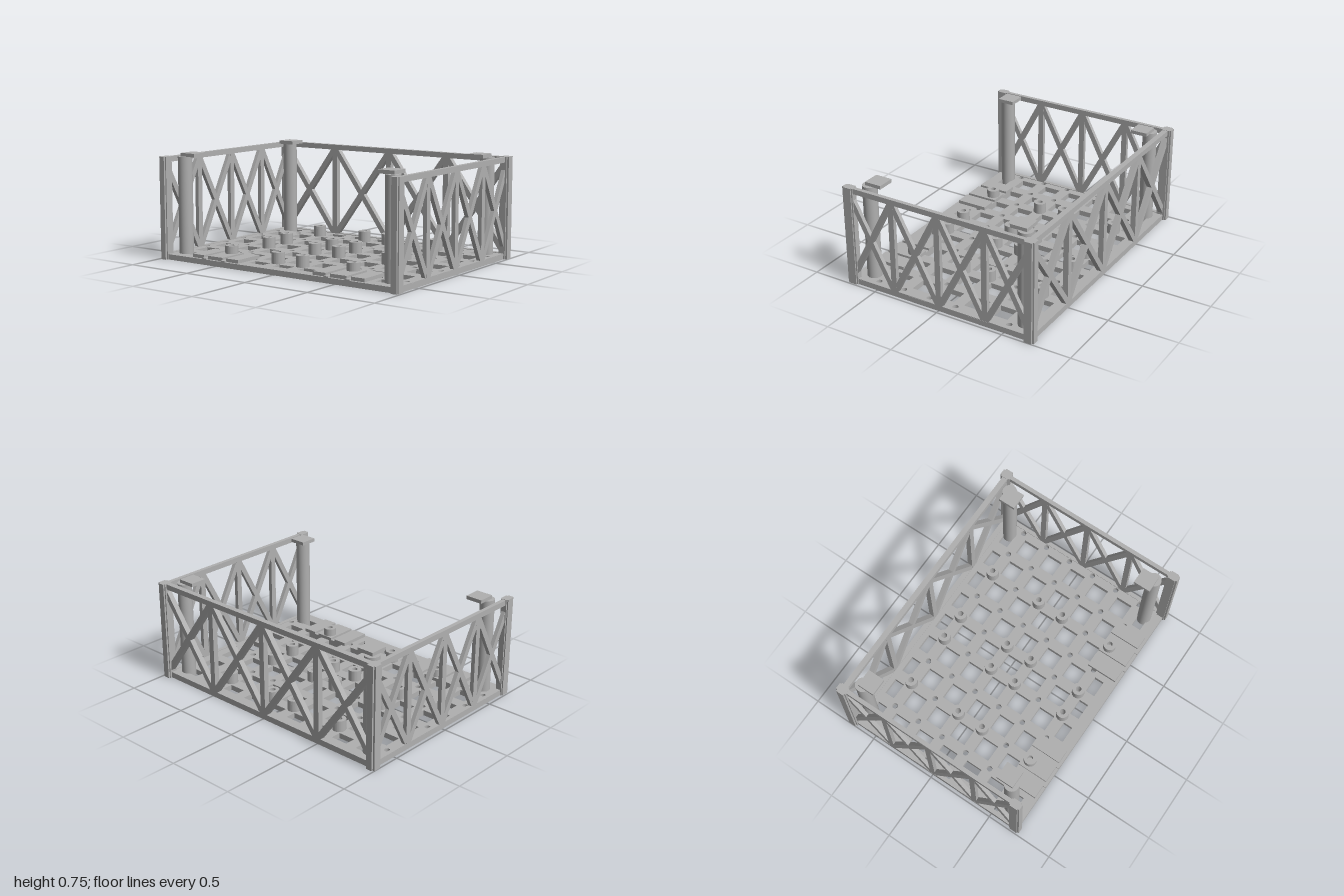
import * as THREE from 'three';

export function createModel() {
  const model = new THREE.Group();
  const grey = new THREE.MeshStandardMaterial({ color: 0xb0b0b0 });
  grey.name = 'plain grey';

  const add = (name, geometry, parent = model) => {
    const mesh = new THREE.Mesh(geometry, grey);
    mesh.name = name;
    parent.add(mesh);
    return mesh;
  };
  // Box given by its limits on each axis
  const block = (name, x0, x1, y0, y1, z0, z1, parent) => {
    const mesh = add(name, new THREE.BoxGeometry(x1 - x0, y1 - y0, z1 - z0), parent);
    mesh.position.set((x0 + x1) / 2, (y0 + y1) / 2, (z0 + z1) / 2);
    return mesh;
  };
  const rect = (Type, x0, x1, y0, y1) => new Type([
    new THREE.Vector2(x0, y0), new THREE.Vector2(x1, y0),
    new THREE.Vector2(x1, y1), new THREE.Vector2(x0, y1),
  ]);
  const circle = (Type, x, y, r) => new Type().absarc(x, y, r, 0, Math.PI * 2);
  const extrudeUp = (shape, depth) =>
    new THREE.ExtrudeGeometry(shape, { depth, bevelEnabled: false, curveSegments: 16 }).rotateX(-Math.PI / 2);

  // Floor plate with peg holes and square openings
  const pitch = 0.2058, floorTop = 0.038;
  const pegX = i => -0.518 + i * pitch;
  const pegZ = j => -0.929 + j * pitch;
  const floor = rect(THREE.Shape, -0.715, 0.705, -0.976, 0.976);
  for (let i = 0; i < 6; i++)
    for (let j = 0; j < 10; j++) floor.holes.push(circle(THREE.Path, pegX(i), -pegZ(j), 0.02));
  for (let i = -1; i < 6; i++)
    for (let j = 0; j < 9; j++) {
      const cx = pegX(i) + pitch / 2, cz = pegZ(j) + pitch / 2, h = 0.0625;
      floor.holes.push(rect(THREE.Path, Math.max(cx - h, -0.63), Math.min(cx + h, 0.627), -cz - h, -cz + h));
    }
  add('floor plate', extrudeUp(floor, floorTop));

  // Hollow standoffs
  const ring = circle(THREE.Shape, 0, 0, 0.046);
  ring.holes.push(circle(THREE.Path, 0, 0, 0.02));
  const standoff = extrudeUp(ring, 0.117 - floorTop);
  for (const i of [0, 2, 3, 5])
    for (const j of [2, 4, 5, 7]) add('standoff', standoff).position.set(pegX(i), floorTop, pegZ(j));

  // Stepped mounting blocks along the open side
  for (const s of [1, -1]) {
    const c = s * 0.517;
    for (const [a, b] of [[-0.204, -0.1], [-0.065, 0.065], [0.1, 0.204]])
      block('mounting block', -0.695, -0.465, 0, 0.062, c + a, c + b);
    for (const a of [-0.0825, 0.0825])
      block('mounting strip', -0.715, -0.465, 0, 0.046, c + a - 0.0175, c + a + 0.0175);
  }

  // Corner pillars with square pads on top
  for (const sx of [1, -1])
    for (const sz of [1, -1]) {
      const pillar = add('pillar', new THREE.CylinderGeometry(0.051, 0.051, 0.722, 32));
      pillar.position.set(sx * 0.598, 0.361, sz * 0.866);
      const px = sx * 0.557, pz = sz * 0.826;
      block('pillar pad', px - 0.062, px + 0.062, 0.721, 0.746, pz - 0.062, pz + 0.062);
    }

  // Cross-shaped corner posts
  for (const s of [1, -1]) {
    const post = (name, x0, x1, z0, z1) =>
      block(name, x0, x1, 0, 0.724, Math.min(s * z0, s * z1), Math.max(s * z0, s * z1));
    post('left post', 0.653, 0.73, 0.94, 0.987);
    post('left post core', 0.662, 0.718, 0.932, 1.0);
    post('right post', -0.735, -0.655, 0.94, 0.982);
    post('right post core', -0.722, -0.665, 0.932, 0.99);
  }

  // Truss wall in its own xy plane: rails, uprights and crossed braces over four bays
  const truss = (name, bay, thick) => {
    const wall = new THREE.Group();
    wall.name = name;
    model.add(wall);
    const half = bay * 2 - 0.03, t = thick / 2;
    block('bottom rail', -half, half, 0, 0.042, -t, t, wall);
    block('top rail', -half, half, 0.684, 0.722, -t, t, wall);
    for (const n of [-1, 0, 1]) block('upright', n * bay - 0.021, n * bay + 0.021, 0.03, 0.69, -t, t, wall);
    const y0 = 0.025, y1 = 0.698, dy = y1 - y0;
    for (let n = -2; n < 2; n++)
      for (const s of [1, -1]) {
        const brace = add('brace', new THREE.BoxGeometry(Math.hypot(bay, dy) - 0.03, 0.039, thick * 0.98), wall);
        brace.position.set((n + 0.5) * bay, (y0 + y1) / 2, 0);
        brace.rotation.z = s * Math.atan2(dy, bay);
      }
    return wall;
  };
  truss('front wall', 0.355, 0.029).position.z = 0.961;
  truss('back wall', 0.355, 0.029).position.z = -0.961;
  const side = truss('left wall', 0.49, 0.039);
  side.position.x = 0.686;
  side.rotation.y = Math.PI / 2;

  return model;
}
